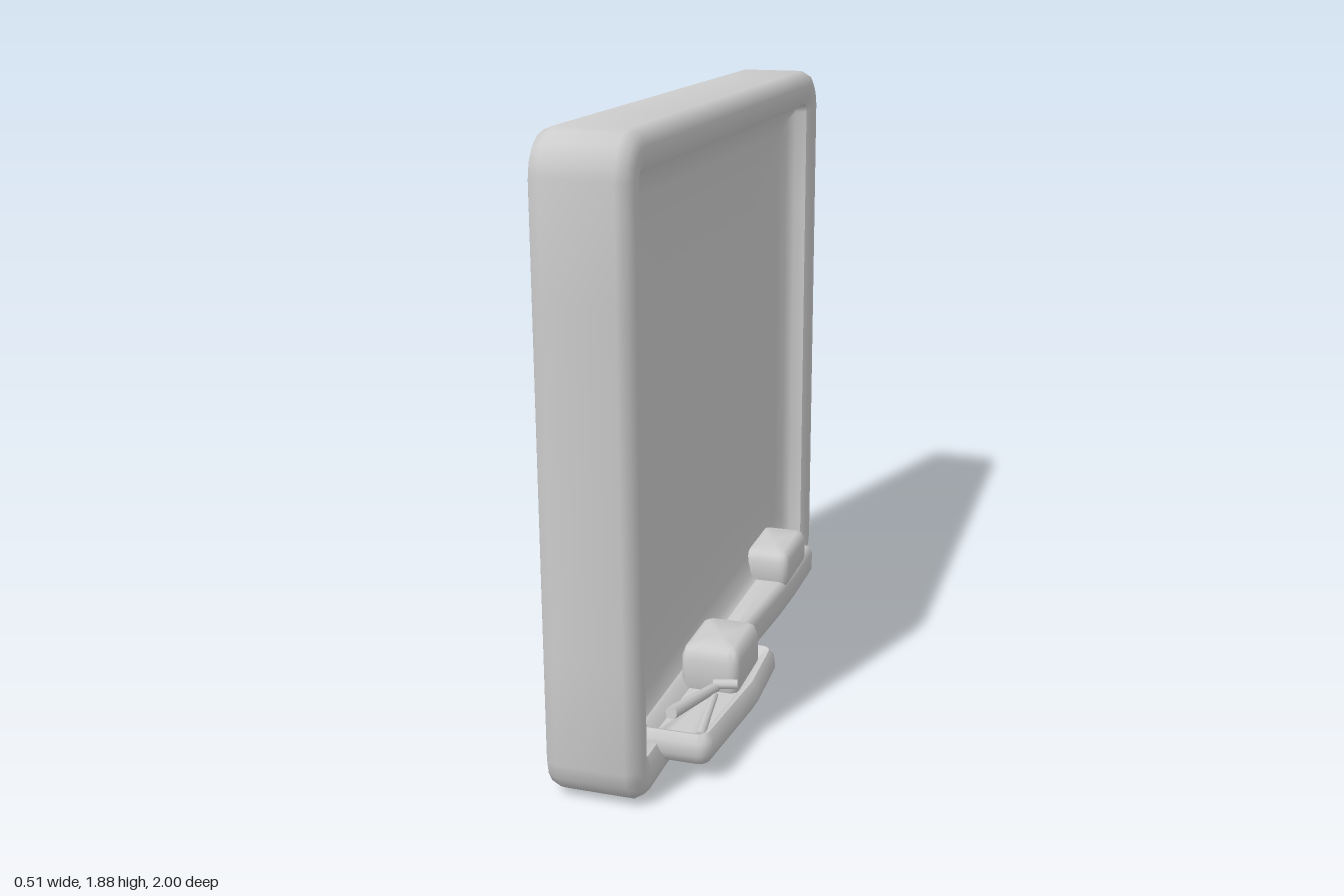
import * as THREE from 'three';
import { toCreasedNormals } from 'three/addons/utils/BufferGeometryUtils.js';

// One rounded rectangle, counter-clockwise, with its straight edges subdivided.
function roundedRing(w, h, r, seg = 4, split = 5) {
  const pts = [], ring = [];
  [[1, 1], [-1, 1], [-1, -1], [1, -1]].forEach(([sx, sy], c) => {
    for (let i = 0; i <= seg; i++) {
      const a = (c + i / seg) * Math.PI / 2;
      pts.push([sx * (w / 2 - r) + r * Math.cos(a), sy * (h / 2 - r) + r * Math.sin(a)]);
    }
  });
  pts.forEach((p, i) => {
    const q = pts[(i + 1) % pts.length];
    const steps = i % (seg + 1) === seg ? split : 1;
    for (let s = 0; s < steps; s++) {
      ring.push([p[0] + (q[0] - p[0]) * s / steps, p[1] + (q[1] - p[1]) * s / steps]);
    }
  });
  return ring;
}

// Skin rounded rectangles [level, inset, radius] into a closed solid; map places (u, v, level).
function loft(w, h, rings, map, crease = 0.8) {
  const pos = [], idx = [];
  let n = 0;
  rings.forEach(([level, inset, r]) => {
    const pts = roundedRing(w - 2 * inset, h - 2 * inset, r);
    n = pts.length;
    pts.forEach(([u, v]) => pos.push(...map(u, v, level)));
  });
  for (let k = 0; k < rings.length - 1; k++) {
    for (let i = 0; i < n; i++) {
      const a = k * n + i, b = k * n + (i + 1) % n;
      idx.push(a, b, b + n, a, b + n, a + n);
    }
  }
  const first = pos.length / 3, last = first + 1, top = (rings.length - 1) * n;
  pos.push(...map(0, 0, rings[0][0]), ...map(0, 0, rings[rings.length - 1][0]));
  for (let i = 0; i < n; i++) {
    const j = (i + 1) % n;
    idx.push(first, j, i, last, top + i, top + j);
  }
  const g = new THREE.BufferGeometry();
  g.setAttribute('position', new THREE.Float32BufferAttribute(pos, 3));
  g.setIndex(idx);
  return toCreasedNormals(g, crease);
}

export function createModel() {
  const model = new THREE.Group();
  const grey = new THREE.MeshStandardMaterial({ color: 0xcccccc });
  grey.name = 'plain grey';
  const add = (name, geometry) => {
    const mesh = new THREE.Mesh(geometry, grey);
    mesh.name = name;
    model.add(mesh);
    return mesh;
  };

  // Board: rounded back, thick frame and a softly dished writing surface
  add('boardAndFrame', loft(2, 1.88, [
    [-0.214, 0.1, 0.07], [-0.213, 0.04, 0.09], [-0.2, 0.012, 0.11], [-0.17, 0, 0.12],
    [0.035, 0, 0.12], [0.062, 0.015, 0.11], [0.074, 0.045, 0.08],
    [0.07, 0.085, 0.05], [0.055, 0.112, 0.03], [0.015, 0.12, 0.03],
    [-0.01, 0.145, 0.04], [-0.023, 0.21, 0.05], [-0.03, 0.34, 0.05], [-0.033, 0.5, 0.05],
  ], (u, v, x) => [x, v + 0.94, -u]));

  // Solids built upward from a rounded plan; bend(z) scales their reach from the board
  const plan = (name, [x0, x1], [y0, y1], [z0, z1], r, rings, bend = () => 1) => {
    const cx = (x0 + x1) / 2, cz = (z0 + z1) / 2;
    const block = [
      [0, 0.012, r * 0.7], [0.2, 0, r], [0.75, 0, r], [0.94, 0.01, r * 0.8], [1, 0.025, r * 0.6],
    ];
    return add(name, loft(x1 - x0, z1 - z0, rings || block, (u, v, t) => {
      const z = cz - v;
      return [x0 + (cx + u - x0) * bend(z), y0 + t * (y1 - y0), z];
    }));
  };

  // Ledge along the lower frame, growing wider towards the back
  plan('lowerLedge', [-0.02, 0.122], [0.01, 0.125], [-0.83, 0.2], 0.025, null,
    z => 0.68 + 0.32 * THREE.MathUtils.clamp((0.15 - z) / 0.65, 0, 1));

  // Tray with a shallow basin, widest near its middle
  plan('tray', [-0.02, 0.25], [0.04, 0.15], [0.125, 0.79], 0.04, [
    [0, 0.05, 0.02], [0.15, 0.02, 0.03], [0.45, 0, 0.04], [0.8, 0.004, 0.04],
    [1, 0.02, 0.03], [0.95, 0.035, 0.02], [0.7, 0.06, 0.015],
  ], z => 1 - (z < 0.4 ? 0.16 * (0.4 - z) : 0.36 * (z - 0.4)));

  // Erasers
  plan('frontEraser', [0.01, 0.195], [0.1, 0.255], [0.185, 0.44], 0.03);
  plan('rearEraser', [-0.05, 0.123], [0.1, 0.228], [-0.71, -0.43], 0.03);

  // Pens and small spur
  const rod = (name, a, b, r0, r1) => {
    const from = new THREE.Vector3(...a), to = new THREE.Vector3(...b);
    const dir = to.clone().sub(from);
    const mesh = add(name, new THREE.CylinderGeometry(r1, r0, dir.length(), 8));
    mesh.position.copy(from).add(to).multiplyScalar(0.5);
    mesh.quaternion.setFromUnitVectors(new THREE.Vector3(0, 1, 0), dir.normalize());
  };
  rod('longPen', [0.08, 0.185, 0.73], [0.14, 0.155, 0.47], 0.02, 0.015);
  rod('secondPen', [0.17, 0.13, 0.74], [0.14, 0.14, 0.5], 0.015, 0.012);
  rod('penCap', [0.13, 0.165, 0.48], [0.2, 0.165, 0.46], 0.015, 0.015);
  rod('backSpur', [-0.19, 1.81, 0.455], [-0.255, 1.82, 0.455], 0.014, 0.006);

  return model;
}
